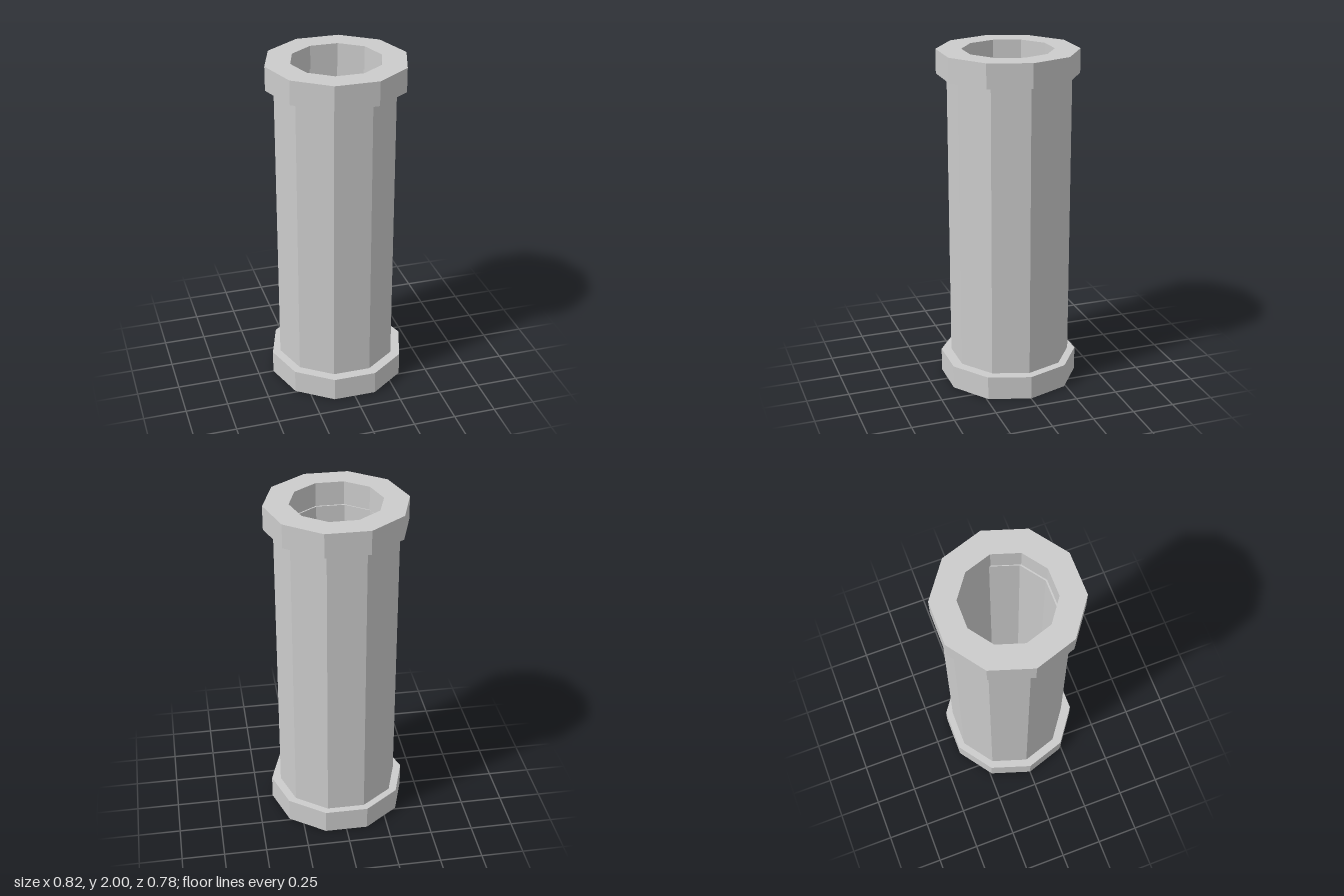
import * as THREE from 'three';

const SIDES = 10;
const material = new THREE.MeshStandardMaterial({ color: 0xcccccc, flatShading: true });

// Hollow ten-sided ring standing on y = 0, with corners on the x axis
function ring(name, inner, outer, height) {
  const profile = [
    [inner, 0], [outer, 0], [outer, height], [inner, height], [inner, 0],
  ].map(([r, y]) => new THREE.Vector2(r, y));
  const mesh = new THREE.Mesh(new THREE.LatheGeometry(profile, SIDES, Math.PI / 2), material);
  mesh.name = name;
  return mesh;
}

export function createModel() {
  const group = new THREE.Group();
  group.name = 'flangedPipe';

  const flangeHeight = 0.14;
  const bore = 0.263;

  // Wider collars at both ends
  const bottomFlange = ring('bottomFlange', bore, 0.408, flangeHeight);
  const topFlange = ring('topFlange', bore, 0.408, flangeHeight);
  topFlange.position.y = 2 - flangeHeight;

  // Pipe between the collars, sitting very slightly off centre
  const pipe = ring('pipe', bore, 0.356, 2 - 2 * flangeHeight);
  pipe.position.set(-0.002, flangeHeight, -0.009);

  group.add(bottomFlange, pipe, topFlange);
  return group;
}
